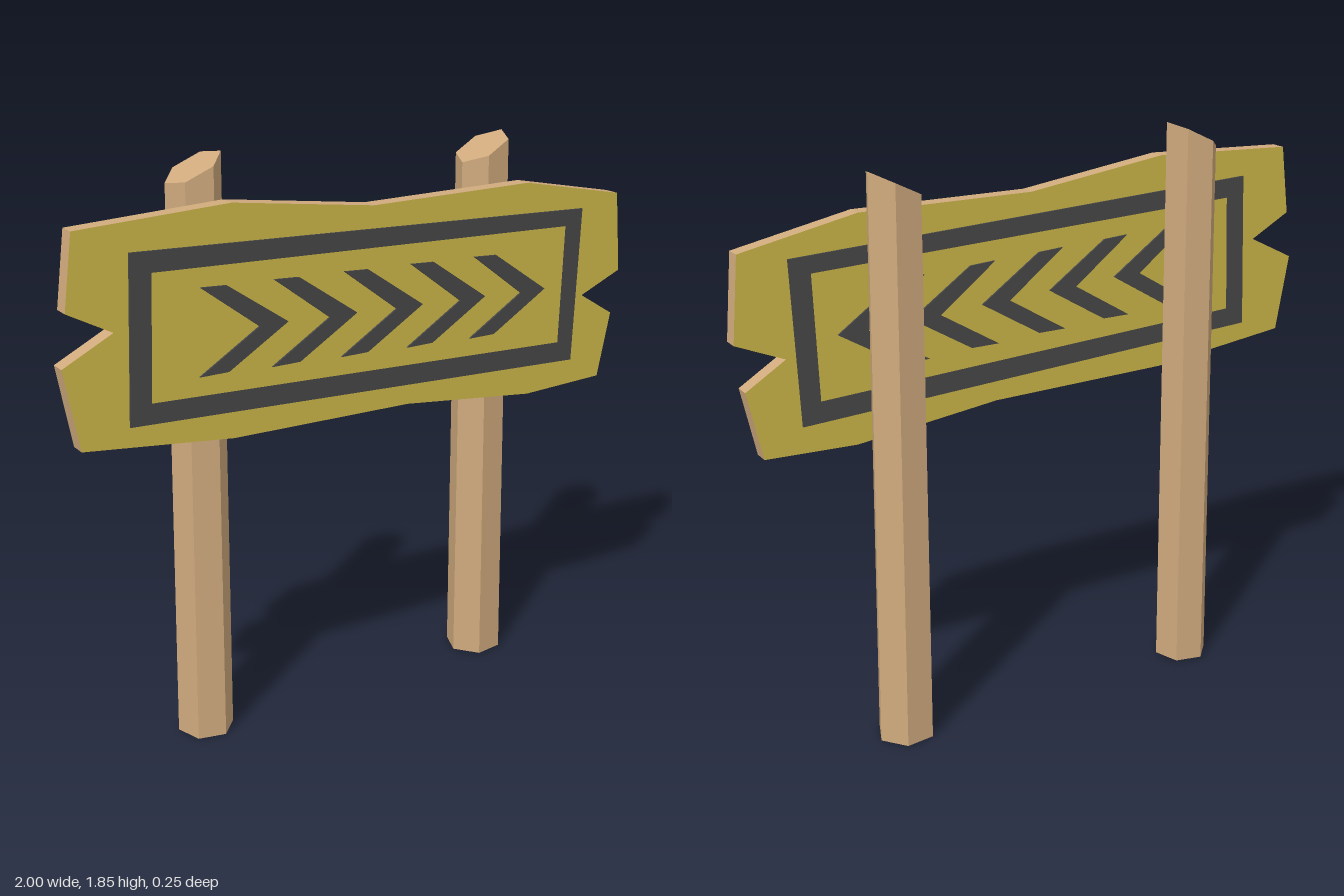
import * as THREE from 'three';

const wood = new THREE.MeshStandardMaterial({ color: 0xd0aa7d });
wood.name = 'wood';
const yellow = new THREE.MeshStandardMaterial({ color: 0xccb648 });
yellow.name = 'yellow paint';
const dark = new THREE.MeshStandardMaterial({ color: 0x474747 });
dark.name = 'dark paint';

const BACK = 0.066, FRONT = 0.118, PLATE = 0.006;

const toPoints = (pairs) => pairs.map(([x, y]) => new THREE.Vector2(x, y));

function slab(shape, depth, z, material, name) {
  const geometry = new THREE.ExtrudeGeometry(shape, { depth, bevelEnabled: false });
  geometry.translate(0, 0, z);
  const mesh = new THREE.Mesh(geometry, material);
  mesh.name = name;
  return mesh;
}

// Leaning, tapering six-sided post with a top cut at a slant along x
function post(name, bottom, top, phase) {
  const theta = Math.PI / 2 - THREE.MathUtils.degToRad(phase);
  const geometry = new THREE.CylinderGeometry(top.r, bottom.r, 1, 6, 1, false, theta).toNonIndexed();
  const p = geometry.attributes.position;
  for (let i = 0; i < p.count; i++) {
    const upper = p.getY(i) > 0;
    const end = upper ? top : bottom;
    const x = p.getX(i);
    p.setXYZ(i, end.x + x, upper ? top.y + 0.5 * x : 0, end.z + p.getZ(i));
  }
  geometry.computeVertexNormals();
  const mesh = new THREE.Mesh(geometry, wood);
  mesh.name = name;
  return mesh;
}

export function createModel() {
  const model = new THREE.Group();
  model.name = 'arrowSign';

  model.add(
    post('rightPost', { x: -0.52, z: -0.031, r: 0.09 }, { x: -0.5, z: -0.036, r: 0.084, y: 1.81 }, 13),
    post('leftPost', { x: 0.551, z: -0.035, r: 0.094 }, { x: 0.535, z: -0.04, r: 0.086, y: 1.767 }, 52)
  );

  // Rough board with notched ends: painted faces, bare wood edges
  const boardShape = new THREE.Shape(toPoints([
    [-0.95, 1.71], [-0.46, 1.73], [0.02, 1.665], [0.6, 1.668], [0.975, 1.593], [1, 1.33],
    [0.845, 1.265], [0.975, 1.185], [0.93, 0.97], [0.63, 0.96], [0.15, 1.015], [-0.47, 1.025],
    [-0.955, 1.08], [-1, 1.33], [-0.84, 1.41], [-0.98, 1.485],
  ]));
  model.add(slab(boardShape, FRONT - BACK, BACK, [yellow, wood], 'board'));

  // Painted border
  const border = new THREE.Shape(toPoints([[-0.785, 1.63], [0.825, 1.56], [0.805, 1.05], [-0.805, 1.125]]));
  border.holes.push(new THREE.Path(toPoints([[-0.72, 1.565], [0.757, 1.51], [0.745, 1.12], [-0.735, 1.185]])));

  // Row of chevrons drifting slightly downwards
  const chevron = [[-0.57, 1.5], [-0.485, 1.495], [-0.283, 1.356], [-0.485, 1.235], [-0.58, 1.235], [-0.38, 1.356]];
  const chevrons = [];
  for (let i = 0; i < 5; i++) {
    chevrons.push(new THREE.Shape(toPoints(chevron.map(([x, y]) => [x + 0.241 * i, y - 0.0107 * i]))));
  }

  // The same painted details on both faces
  for (const [side, z] of [['front', FRONT], ['back', BACK - PLATE]]) {
    model.add(slab(border, PLATE, z, dark, side + 'Border'));
    chevrons.forEach((shape, i) => model.add(slab(shape, PLATE, z, dark, side + 'Chevron' + (i + 1))));
  }
  return model;
}
